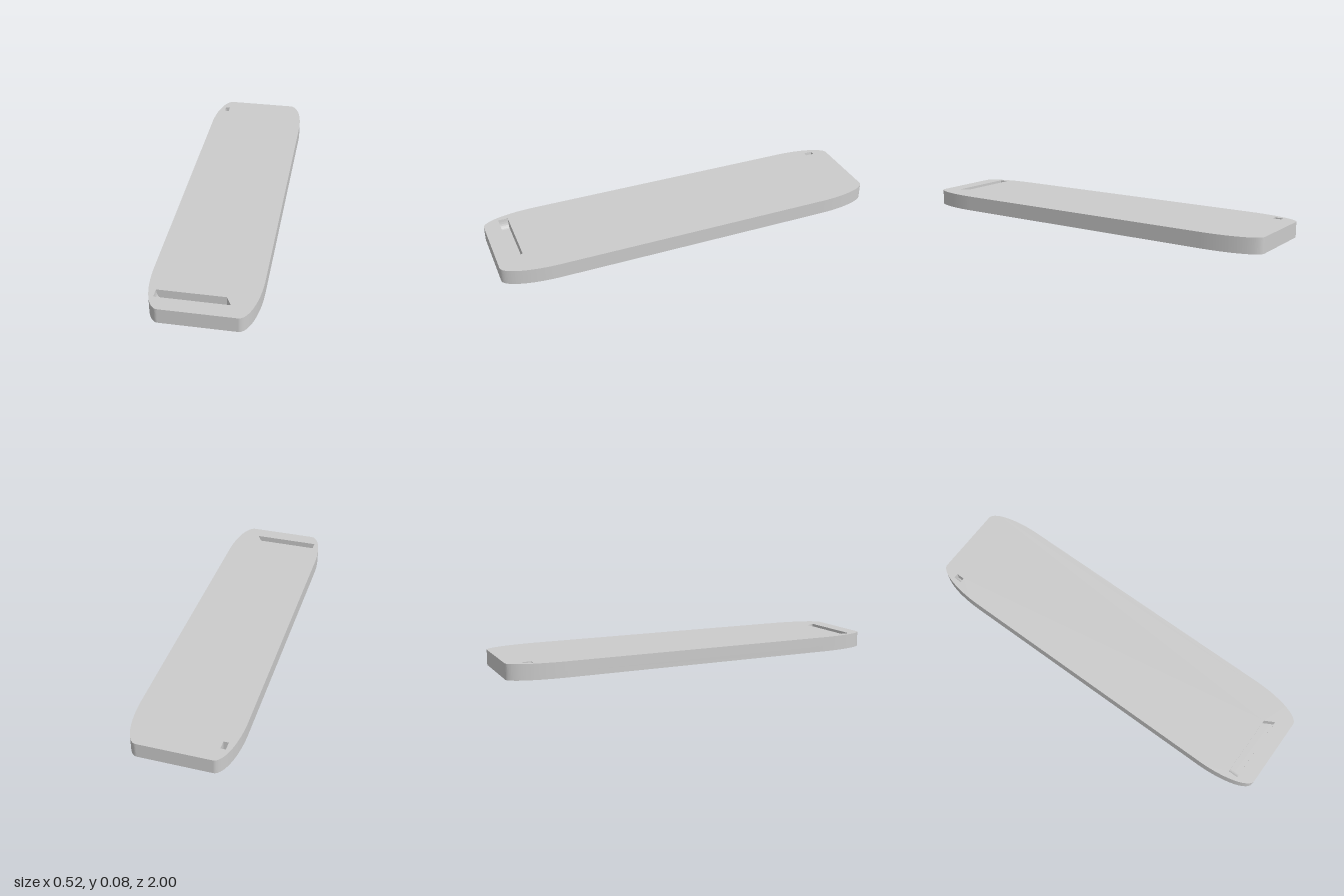
import * as THREE from 'three';

const HEIGHT = 0.078, FLOOR = 0.03;
const HALF_W = 0.262, END_W = 0.18, SHOULDER = 0.72;

// Plan shapes are drawn with y = -z, then laid flat.
function outline() {
  const s = new THREE.Shape();
  const rx = HALF_W - END_W, rz = 1 - SHOULDER, q = Math.PI / 2;
  [[1, 1], [-1, 1], [-1, -1], [1, -1]].forEach(([sx, sy], i) => {
    s.absellipse(sx * END_W, sy * SHOULDER, rx, rz, i * q, (i + 1) * q, false, 0);
  });
  s.closePath();
  return s;
}

function slab(shape, y0, y1) {
  const g = new THREE.ExtrudeGeometry(shape, { depth: y1 - y0, bevelEnabled: false, curveSegments: 14 });
  return g.rotateX(-Math.PI / 2).translate(0, y0, 0);
}

// Pocket outline, with points given as [x, z]
const pocket = (pts) => new THREE.Path(pts.map(([x, z]) => new THREE.Vector2(x, -z)));

// Curved ramp at the right end of a pocket
function ramp(x0, x1, z0, z1) {
  const s = new THREE.Shape();
  s.moveTo(x0, FLOOR);
  s.lineTo(x1, FLOOR);
  s.quadraticCurveTo(x0 + 0.003, FLOOR + 0.004, x0, HEIGHT - 0.001);
  s.closePath();
  const g = new THREE.ExtrudeGeometry(s, { depth: z1 - z0, bevelEnabled: false, curveSegments: 6 });
  return g.translate(0, 0, z0);
}

export function createModel() {
  const group = new THREE.Group();
  group.name = 'slottedBar';
  const material = new THREE.MeshStandardMaterial({ color: 0xcccccc });
  const add = (name, geometry) => {
    const mesh = new THREE.Mesh(geometry, material);
    mesh.name = name;
    group.add(mesh);
  };

  // Solid lower layer closes the pockets
  add('base', slab(outline(), 0, FLOOR));

  // Upper layer with the long slot and the small notch
  const top = outline();
  top.holes.push(
    pocket([[-0.215, 0.87], [0.108, 0.87], [0.135, 0.92], [-0.215, 0.92]]),
    pocket([[-0.215, -0.92], [-0.19, -0.92], [-0.19, -0.875], [-0.215, -0.875]]),
  );
  add('topPlate', slab(top, FLOOR, HEIGHT));

  // Ramped pocket ends
  add('slotRamp', ramp(-0.215, -0.19, 0.87, 0.92));
  add('notchRamp', ramp(-0.215, -0.19, -0.92, -0.875));
  return group;
}
